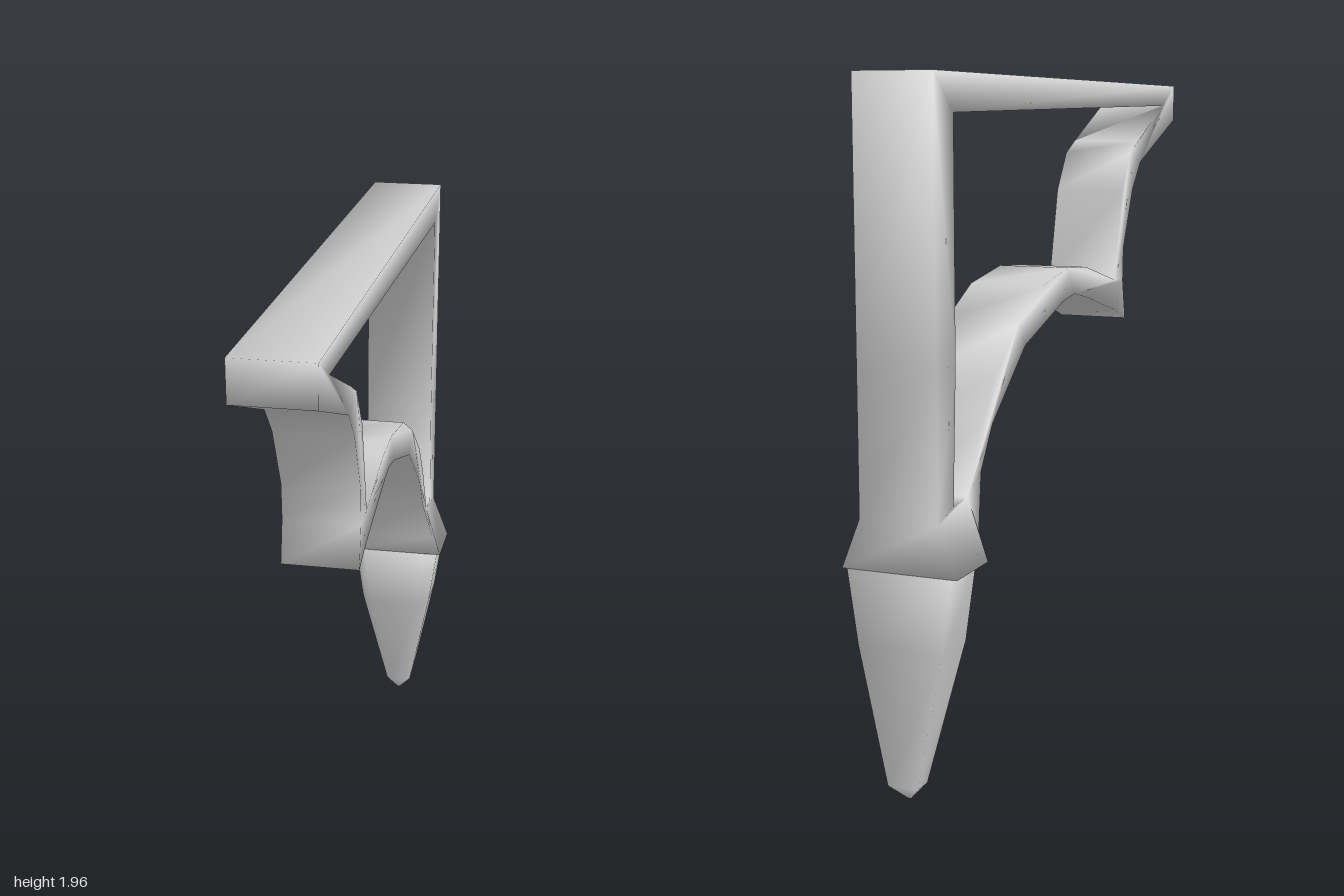
import * as THREE from 'three';
import { mergeVertices } from 'three/addons/utils/BufferGeometryUtils.js';

const HALF = 0.115; // half thickness of the bracket

// Weld the corners so that shading runs smoothly over the edges
function smooth(geometry) {
  geometry.deleteAttribute('normal');
  geometry.deleteAttribute('uv');
  const welded = mergeVertices(geometry, 1e-4);
  welded.computeVertexNormals();
  return welded;
}

const points = (list) => list.map(([z, y]) => new THREE.Vector2(z, y));

// Post, top beam, cusp and arch as one pierced side profile (z, y)
function frameGeometry() {
  const shape = new THREE.Shape(points([
    [1, 1.95], [-1, 1.96], [-1, 1.2], [-1, 0.79], [-1, 0.65], [-0.8, 0.65], [-0.8, 0.72],
    [-0.72, 0.88], [-0.64, 1.0], [-0.4, 1.19], [-0.1, 1.285], [0, 1.3], [0.1, 1.28],
    [0.37, 1.21], [0.48, 1.17], [0.455, 1.3], [0.46, 1.41], [0.55, 1.6], [0.63, 1.69], [1, 1.83],
  ]));
  shape.holes.push(new THREE.Path(points([
    [0.87, 1.88], [-0.88, 1.855], [-0.88, 1.2], [-0.9, 0.82], [-0.81, 0.83], [-0.71, 1.01],
    [-0.62, 1.13], [-0.45, 1.26], [-0.27, 1.35], [-0.05, 1.385], [0.1, 1.375], [0.37, 1.31],
    [0.44, 1.6], [0.52, 1.72], [0.6, 1.76],
  ])));
  const geo = new THREE.ExtrudeGeometry(shape, { depth: 2 * HALF, bevelEnabled: false });
  geo.translate(0, 0, -HALF).rotateY(-Math.PI / 2);

  // Flare the foot of the post into a collar
  const pos = geo.attributes.position;
  for (let i = 0; i < pos.count; i++) {
    const t = THREE.MathUtils.clamp((0.79 - pos.getY(i)) / 0.14, 0, 1);
    pos.setX(i, Math.sign(pos.getX(i)) * (HALF + 0.055 * t));
  }
  return smooth(geo);
}

// Tapered pendant lofted from flat-backed sections: y, half width, back z, front z
function pendantGeometry() {
  const levels = [
    [0.65, 0.155, -1, -0.8], [0.44, 0.125, -1, -0.8],
    [0.05, 0.045, -0.995, -0.915], [0.005, 0.005, -0.955, -0.945],
  ];
  const vertices = [], indices = [], n = 6;
  for (const [y, w, back, front] of levels) {
    const chamfer = front - (front - back) * 0.25;
    for (const [x, z] of [[-w, back], [-w, chamfer], [-w * 0.7, front],
      [w * 0.7, front], [w, chamfer], [w, back]]) vertices.push(x, y, z);
  }
  for (let r = 0; r < levels.length - 1; r++) {
    for (let i = 0; i < n; i++) {
      const a = r * n + i, b = r * n + (i + 1) % n;
      indices.push(a, a + n, b, b, a + n, b + n);
    }
  }
  // Close the top and the tip
  const last = (levels.length - 1) * n;
  for (let i = 1; i < n - 1; i++) {
    indices.push(0, i, i + 1, last, last + i + 1, last + i);
  }
  const geo = new THREE.BufferGeometry();
  geo.setAttribute('position', new THREE.Float32BufferAttribute(vertices, 3));
  geo.setIndex(indices);
  geo.computeVertexNormals();
  return geo;
}

export function createModel() {
  const group = new THREE.Group();
  group.name = 'wallBracket';
  const material = new THREE.MeshStandardMaterial({ color: 0xcccccc });
  const add = (name, geometry) => {
    const mesh = new THREE.Mesh(geometry, material);
    mesh.name = name;
    group.add(mesh);
  };
  add('bracketFrame', frameGeometry());
  add('pendant', pendantGeometry());
  return group;
}
